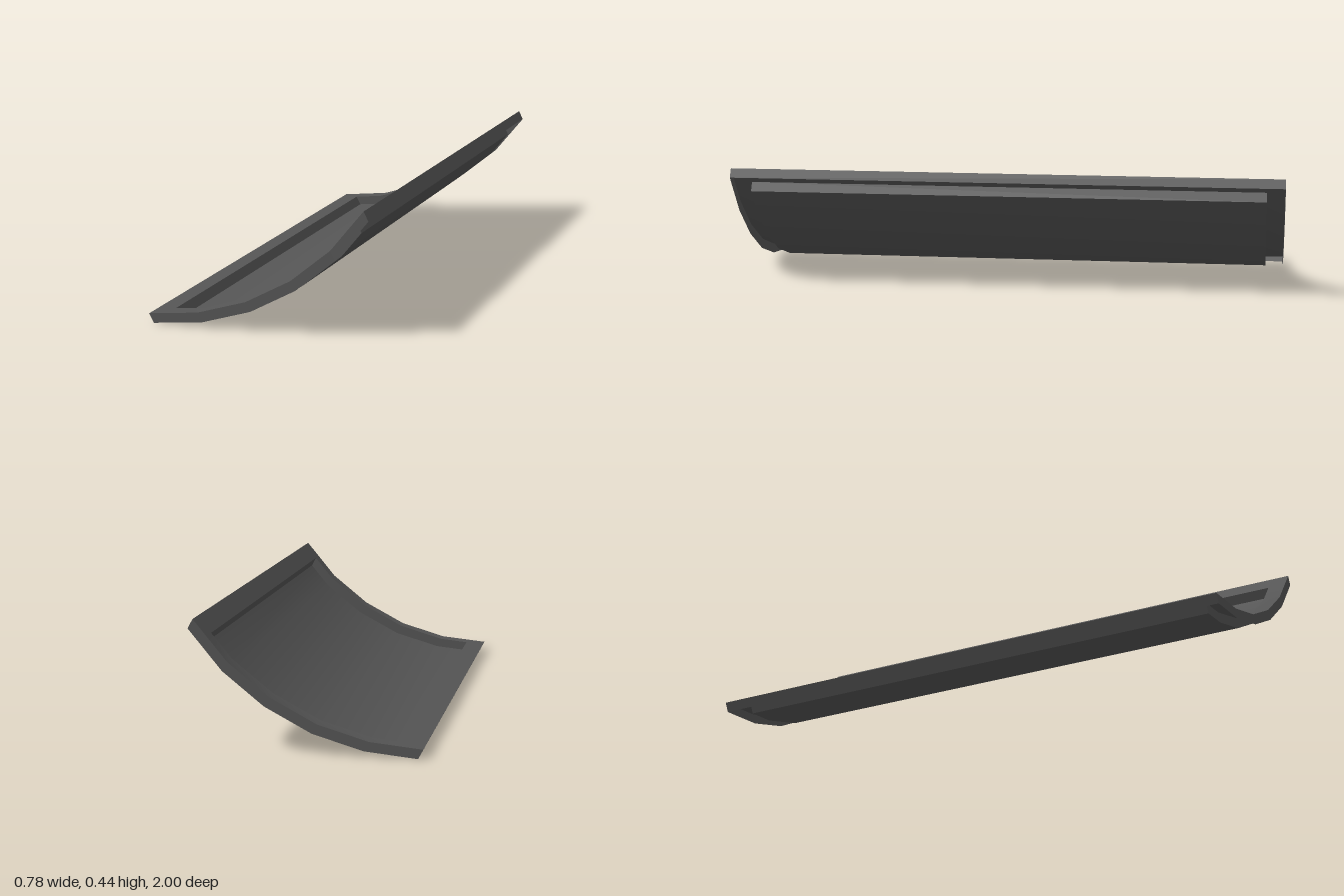
import * as THREE from 'three';

// Curved cross-section of the upper face (x, y); the rim lines sit at indices 1 and 6
const PROFILE = [
  [-0.392, 0.033], [-0.322, 0.0404], [-0.213, 0.052], [-0.04, 0.104],
  [0.12, 0.19], [0.26, 0.304], [0.328, 0.387], [0.374, 0.443],
];
const INNER = PROFILE.slice(1, -1);
const DROP = [0.017, -0.032]; // offset from upper face to lower edge
const Z_OUT = 1;
const Z_IN = 0.935;

// Smooth sheet swept along z; cells for which skip(i, j) is true are left open
function sheet(profile, zs, skip = () => false) {
  const positions = [];
  const index = [];
  const n = zs.length;
  for (const [x, y] of profile) for (const z of zs) positions.push(x, y, z);
  for (let i = 0; i < profile.length - 1; i++) {
    for (let j = 0; j < n - 1; j++) {
      if (skip(i, j)) continue;
      const a = i * n + j, d = a + n;
      index.push(a, a + 1, d + 1, a, d + 1, d);
    }
  }
  const g = new THREE.BufferGeometry();
  g.setAttribute('position', new THREE.Float32BufferAttribute(positions, 3));
  g.setIndex(index);
  g.computeVertexNormals();
  return g;
}

// Flat-faced wall hanging from a closed rectangular loop along the profile
function skirt(profile, z, inward) {
  const loop = [
    ...profile.map(([x, y]) => [x, y, z]),
    ...[...profile].reverse().map(([x, y]) => [x, y, -z]),
  ];
  if (inward) loop.reverse();
  const low = (p) => [p[0] + DROP[0], p[1] + DROP[1], p[2]];
  const positions = [];
  loop.forEach((p, k) => {
    const q = loop[(k + 1) % loop.length];
    positions.push(...low(p), ...low(q), ...q, ...low(p), ...q, ...p);
  });
  const g = new THREE.BufferGeometry();
  g.setAttribute('position', new THREE.Float32BufferAttribute(positions, 3));
  g.computeVertexNormals();
  return g;
}

export function createModel() {
  const group = new THREE.Group();
  group.name = 'curvedPanel';
  const darkGrey = new THREE.MeshStandardMaterial({ color: 0x555555, side: THREE.DoubleSide });
  darkGrey.name = 'darkGrey';

  const add = (name, geometry) => {
    const mesh = new THREE.Mesh(geometry, darkGrey);
    mesh.name = name;
    group.add(mesh);
  };

  // Raised border around the recess, open underneath
  const last = PROFILE.length - 2;
  add('rim', sheet(PROFILE, [-Z_OUT, -Z_IN, Z_IN, Z_OUT],
    (i, j) => j === 1 && i > 0 && i < last));
  add('outerWall', skirt(PROFILE, Z_OUT, false));

  // Recessed panel and the step leading down to it
  add('recessWall', skirt(INNER, Z_IN, true));
  add('recessedPanel', sheet(
    INNER.map(([x, y]) => [x + DROP[0], y + DROP[1]]), [-Z_IN, Z_IN]));

  return group;
}
